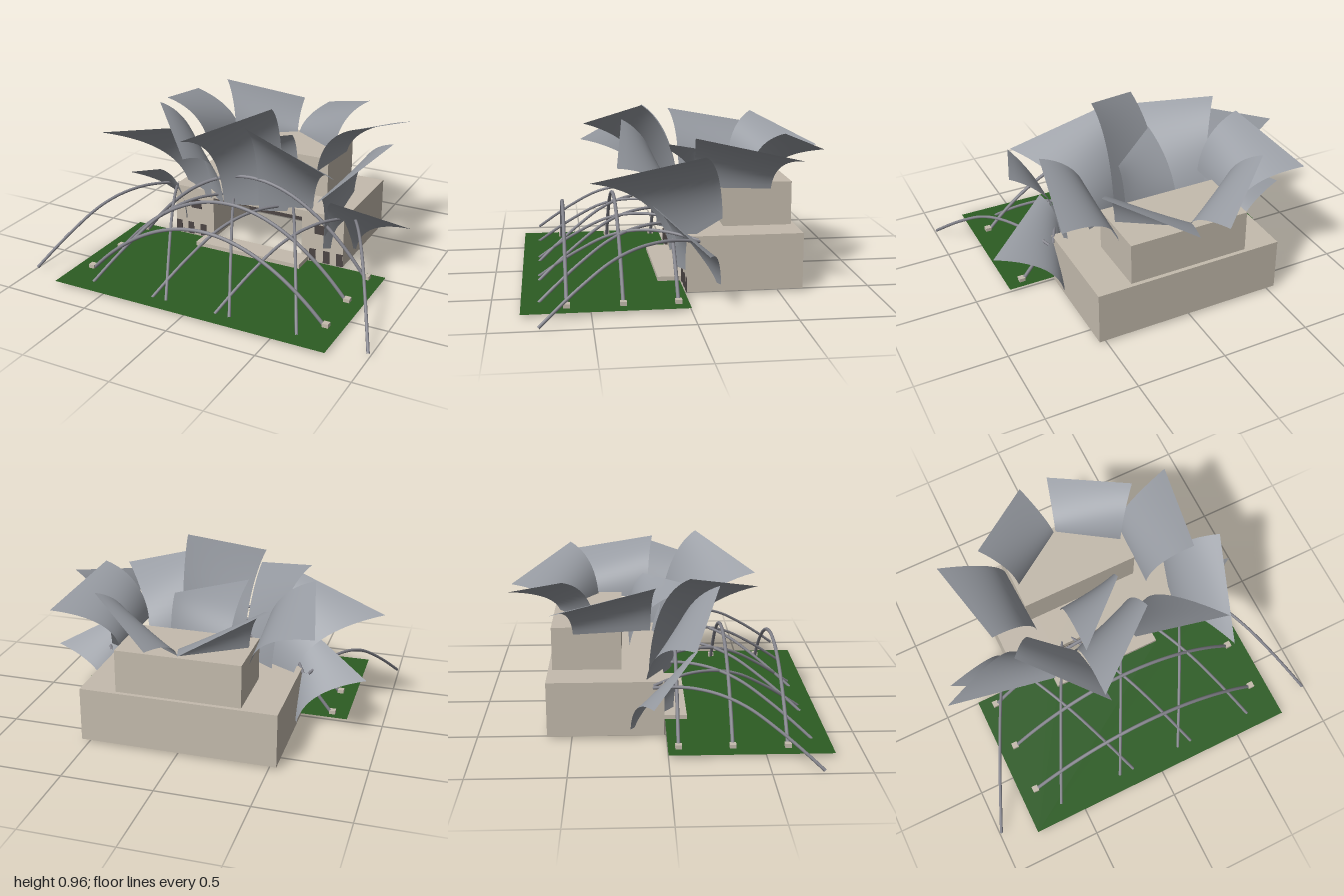
import * as THREE from 'three';

const mat = (name, color, side = THREE.FrontSide) => {
  const m = new THREE.MeshStandardMaterial({ color, side });
  m.name = name;
  return m;
};

export function createModel() {
  const root = new THREE.Group();
  root.name = 'pavilion';
  const stone = mat('stone', 0xc4bbad);
  const dark = mat('darkOpening', 0x4c4544);
  const steel = mat('sailSteel', 0x989ca3, THREE.DoubleSide);
  const pipe = mat('pipeSteel', 0x85858d);
  const grass = mat('grass', 0x2c5c23, THREE.DoubleSide);

  const add = (name, geo, material, parent = root) => {
    const mesh = new THREE.Mesh(geo, material);
    mesh.name = name;
    parent.add(mesh);
    return mesh;
  };
  // Box from its extents along each axis
  const box = (name, [x0, x1], [y0, y1], [z0, z1], material, parent) => {
    const g = new THREE.BoxGeometry(x1 - x0, y1 - y0, z1 - z0);
    g.translate((x0 + x1) / 2, (y0 + y1) / 2, (z0 + z1) / 2);
    return add(name, g, material, parent);
  };

  // Stage house: walls around a stage that is open to the front and below
  const house = new THREE.Group();
  house.name = 'stageHouse';
  root.add(house);
  box('sideWall', [0.285, 0.54], [0.012, 0.312], [-0.63, -0.012], stone, house);
  box('sideWall', [-0.54, -0.285], [0.012, 0.312], [-0.63, -0.012], stone, house);
  box('backWall', [-0.285, 0.285], [0.012, 0.312], [-0.63, -0.48], stone, house);
  box('roofSlab', [-0.285, 0.285], [0.27, 0.312], [-0.48, -0.012], stone, house);
  box('upperBlock', [-0.343, 0.343], [0.312, 0.55], [-0.607, -0.235], stone, house);
  box('stageApron', [-0.33, 0.33], [0.012, 0.037], [-0.015, 0.12], stone, house);
  box('stageBackdrop', [-0.285, 0.285], [0.012, 0.27], [-0.48, -0.474], dark, house);
  box('stageCeiling', [-0.285, 0.285], [0.264, 0.27], [-0.474, -0.012], dark, house);

  // Doors and windows on the front wall
  for (const s of [-1, 1]) {
    for (const x of [0.355, 0.44, 0.52])
      box('door', [s * x - 0.019, s * x + 0.019], [0.013, 0.087], [-0.012, -0.007], dark, house);
    box('window', [s * 0.4 - 0.034, s * 0.4 + 0.034], [0.185, 0.24], [-0.012, -0.007], dark, house);
  }

  // Lawn, cut out around the stage apron
  const lawn = new THREE.Shape();
  [[-0.8, 0], [-0.33, 0], [-0.33, 0.12], [0.33, 0.12], [0.33, 0], [0.8, 0], [0.8, 0.85], [-0.8, 0.85]]
    .forEach(([x, z], i) => (i ? lawn.lineTo(x, -z) : lawn.moveTo(x, -z)));
  const lawnGeo = new THREE.ShapeGeometry(lawn);
  lawnGeo.rotateX(-Math.PI / 2);
  lawnGeo.translate(0, 0.013, 0);
  add('lawn', lawnGeo, grass);

  // Pipe trellis
  const trellis = new THREE.Group();
  trellis.name = 'trellis';
  root.add(trellis);
  const tube = (name, points, r) => add(name, new THREE.TubeGeometry(
    new THREE.CatmullRomCurve3(points.map(p => new THREE.Vector3(...p))), 40, r, 8), pipe, trellis);

  // Arches across the lawn with their footings
  for (const [z, h] of [[0.055, 0.48], [0.335, 0.43], [0.62, 0.385]]) {
    const pts = [];
    for (let i = 0; i <= 12; i++) {
      const t = i / 6 - 1;
      pts.push([0.71 * t, 0.005 + (h - 0.005) * (1 - t * t), z]);
    }
    tube('crossArch', pts, 0.01);
    for (const s of [-1, 1])
      box('footing', [s * 0.71 - 0.017, s * 0.71 + 0.017], [0.011, 0.034], [z - 0.017, z + 0.017], stone, trellis);
  }

  // Diagonal ribs that rise from the front towards the stage
  const rib = [[0.76, 0.01], [0.65, 0.1], [0.55, 0.175], [0.4, 0.27], [0.27, 0.315], [0.13, 0.328], [0, 0.312], [-0.07, 0.295]];
  for (const s of [-1, 1])
    for (let k = 0; k < 4; k++) {
      const x0 = -0.99 + 0.379 * k;
      tube('diagonalRib', rib.map(([z, y]) => [s * (x0 + (0.76 - z) * 0.493), y, z]), 0.0085);
    }

  // A curved sail: upright at its foot, flaring out to a straight top edge
  const sails = new THREE.Group();
  sails.name = 'sails';
  root.add(sails);
  const sail = (name, topA, topB, footA, footB, rise = 0.8) => {
    const [ta, tb, fa, fb] = [topA, topB, footA, footB].map(p => new THREE.Vector3(...p));
    const g = new THREE.PlaneGeometry(1, 1, 12, 16);
    const p = g.attributes.position;
    for (let i = 0; i < p.count; i++) {
      const u = p.getX(i) + 0.5, v = p.getY(i) + 0.5;
      const top = ta.clone().lerp(tb, u), foot = fa.clone().lerp(fb, u);
      const mid = foot.clone().lerp(top, 0.1);
      mid.y = foot.y + (top.y - foot.y) * rise;
      const q = new THREE.QuadraticBezierCurve3(foot, mid, top).getPoint(v);
      p.setXYZ(i, q.x, q.y, q.z);
    }
    g.computeVertexNormals();
    add(name, g, steel, sails);
  };

  // Front sails, each one different
  sail('centreSail', [-0.2, 0.805, 0.49], [0.19, 0.955, 0.19], [-0.18, 0.28, 0.05], [0.16, 0.3, -0.03]);
  sail('rightInnerSail', [-0.545, 0.865, 0.12], [-0.17, 0.72, 0.51], [-0.38, 0.3, -0.09], [-0.19, 0.27, 0.04]);
  sail('rightOuterSail', [-0.96, 0.615, 0.125], [-0.39, 0.785, 0.285], [-0.5, 0.27, -0.11], [-0.27, 0.29, 0.03]);
  sail('leftInnerSail', [0.075, 0.865, 0.29], [0.62, 0.695, 0.355], [0.04, 0.28, 0.04], [0.33, 0.29, -0.06]);
  sail('leftOuterSail', [0.59, 0.615, 0.49], [0.78, 0.77, -0.07], [0.46, 0.22, 0.07], [0.52, 0.4, -0.2]);
  sail('stageSail', [-0.17, 0.715, 0.2], [0.172, 0.71, -0.11], [-0.155, 0.38, -0.19], [0.172, 0.4, -0.2]);

  // Mirrored sails along the sides and back
  for (const s of [-1, 1]) {
    const m = ([x, y, z]) => [s * x, y, z];
    sail('lowWingSail', m([0.53, 0.475, 0.165]), m([0.905, 0.3, -0.075]), m([0.44, 0.13, 0.04]), m([0.55, 0.05, -0.19]));
    sail('sideSail', m([0.6, 0.835, -0.045]), m([0.705, 0.725, -0.585]), m([0.34, 0.53, -0.08]), m([0.355, 0.515, -0.49]));
    sail('backSail', m([0.468, 0.83, -0.535]), m([0.085, 0.675, -0.855]), m([0.32, 0.54, -0.37]), m([0.005, 0.54, -0.575]));
  }
  return root;
}
